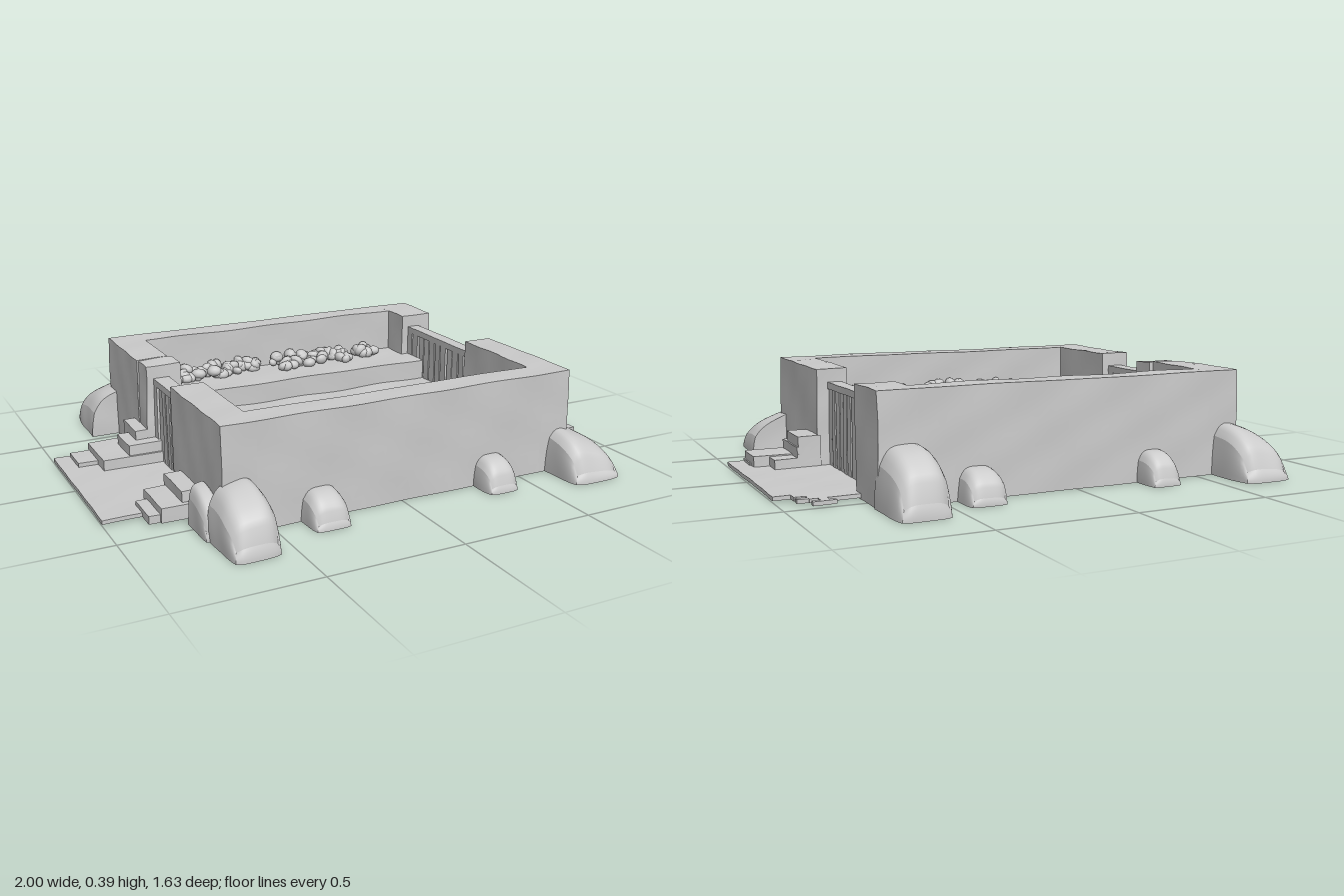
import * as THREE from 'three';
import { mergeGeometries } from 'three/addons/utils/BufferGeometryUtils.js';

const material = new THREE.MeshStandardMaterial({ color: 0xcccccc });

function makeRandom(seed) {
  let s = seed;
  return () => (s = (s * 16807) % 2147483647) / 2147483647;
}

// Gentle hand-hewn unevenness, a function of position so that seams stay shut
function roughen(geometry, amount) {
  const p = geometry.attributes.position;
  for (let i = 0; i < p.count; i++) {
    const x = p.getX(i), y = p.getY(i), z = p.getZ(i);
    const wave = (a, b, c) => Math.sin(a * 17 + b * 11 + 1) * Math.sin(b * 23 - c * 13) + 0.5 * Math.sin(c * 31 + a * 7);
    p.setXYZ(i, x + amount * wave(y, z, x), y < 0.002 ? y : y + amount * wave(x, z, y), z + amount * wave(x, y, z));
  }
  geometry.computeVertexNormals();
  return geometry;
}

// Box given by its bounds, finely divided so it can be roughened
function block(x0, x1, y0, y1, z0, z1, rough = 0.002) {
  const seg = (d) => Math.max(1, Math.ceil(d / 0.045));
  const g = new THREE.BoxGeometry(x1 - x0, y1 - y0, z1 - z0, seg(x1 - x0), seg(y1 - y0), seg(z1 - z0));
  g.translate((x0 + x1) / 2, (y0 + y1) / 2, (z0 + z1) / 2);
  return roughen(g, rough);
}

// Boulder: tall against the wall, curving down towards dir * z, leaning along x
function boulder(x0, x1, z0, z1, h, dir, lean = 0) {
  const g = new THREE.BoxGeometry(2, 1, 2, 14, 6, 14).translate(0, 0.5, 0);
  const p = g.attributes.position;
  for (let i = 0; i < p.count; i++) {
    const v = p.getX(i), t = p.getY(i), w = p.getZ(i);
    const u = (w * dir + 1) / 2;
    const top = h * (0.25 + 0.75 * Math.sqrt(Math.max(0, 1 - u ** 2.2)))
      * (1 - 0.3 * Math.abs(v) ** 4) * (1 - Math.abs(lean) * (v * Math.sign(lean) + 1) / 2);
    const narrow = 1 - 0.1 * t * t - 0.13 * u ** 5;
    const reach = 1 - 0.1 * t * t - 0.1 * Math.abs(v) ** 5;
    const ww = u > 0.5 ? w * reach : w;
    p.setXYZ(i, (x0 + x1) / 2 + v * narrow * (x1 - x0) / 2, t * top, (z0 + z1) / 2 + ww * (z1 - z0) / 2);
  }
  return roughen(g, 0.0025);
}

// Low mound of crumpled leaves filling a strip that tapers towards one end
function foliage(x0, x1, zWall, depth, dir, y, taper, seed) {
  const random = makeRandom(seed), parts = [];
  const count = Math.round((x1 - x0) * 130);
  for (let i = 0; i < count; i++) {
    const u = random(), reach = depth * (1 - taper * u) * (0.85 + 0.15 * Math.sin(u * 19));
    const r = 0.017 + 0.012 * random(), w = random();
    const leaf = new THREE.IcosahedronGeometry(r, 1);
    leaf.scale(1.15, 0.8, 1);
    leaf.rotateX(random() * 3);
    leaf.rotateY(random() * 3);
    leaf.translate(x0 + r + u * (x1 - x0 - 2 * r), y + 0.008 + 0.035 * random() * (1 - w * 0.7), zWall + dir * (r * 0.6 + w * (reach - 1.6 * r)));
    parts.push(leaf);
  }
  return mergeGeometries(parts);
}

// Gate of uneven upright planks
function gate(x0, x1, z0, z1, h, seed) {
  const random = makeRandom(seed);
  const n = Math.round((z1 - z0) / 0.045), step = (z1 - z0) / n;
  const parts = [block(x0 + 0.012, x1 - 0.012, 0, h - 0.005, z0, z1, 0.001), block(x0, x1, h - 0.025, h, z0, z1, 0.001)];
  for (let i = 0; i < n; i++) {
    const z = z0 + i * step, d = 0.007 * random();
    parts.push(block(x0 + d, x1 - d, 0, h - 0.012, z + 0.006 * random(), z + step - 0.005, 0.0015));
  }
  return mergeGeometries(parts);
}

export function createModel() {
  const group = new THREE.Group();
  const add = (name, geometry) => {
    const mesh = new THREE.Mesh(geometry, material);
    mesh.name = name;
    group.add(mesh);
  };
  const H = 0.383, ledge = 0.21, floor = 0.13;

  // Outer walls, with gaps for the two gates
  add('frontWall', block(-0.55, 0.59, 0, H, 0.5, 0.605));
  add('backWall', block(-0.55, 0.585, 0, H, -0.61, -0.51));
  add('rightFrontWing', block(-0.675, -0.55, 0, H, 0.14, 0.605));
  add('rightBackWing', block(-0.675, -0.55, 0, H, -0.61, -0.24));
  add('rightBackPost', block(-0.67, -0.53, 0, H - 0.004, -0.24, -0.15, 0.004));
  add('leftFrontWing', block(0.59, 0.71, 0, H, 0.09, 0.605));
  add('leftBackWing', block(0.585, 0.725, 0, H, -0.61, -0.39));

  // Floor and raised planting ledges
  add('floor', block(-0.6, 0.63, 0.002, floor, -0.27, 0.17, 0.003));
  add('frontLedge', block(-0.56, 0.6, 0.002, ledge, 0.17, 0.505));
  add('backLedge', block(-0.56, 0.62, 0.002, ledge, -0.515, -0.27));

  // Gates
  add('leftGate', gate(0.615, 0.668, -0.395, 0.095, 0.332, 11));
  add('rightGate', gate(-0.642, -0.58, -0.155, 0.145, 0.332, 29));

  // Foliage: x0, x1, wall z, depth, direction, taper
  [
    [-0.54, -0.16, -0.51, 0.15, 1, 0.2],
    [-0.2, -0.04, -0.51, 0.09, 1, 0.3],
    [-0.02, 0.2, -0.51, 0.15, 1, 0.1],
    [0.16, 0.5, -0.51, 0.155, 1, 0.1],
    [-0.31, -0.1, 0.5, 0.11, -1, 0.1],
    [-0.08, 0.13, 0.5, 0.105, -1, 0.1],
    [0.2, 0.55, 0.5, 0.115, -1, 0.1],
  ].forEach(([x0, x1, z, d, dir, taper], i) => add('foliage', foliage(x0, x1, z, d, dir, ledge, taper, 101 + i * 37)));

  // Boulders propped against the walls: x0, x1, z0, z1, height, direction, lean
  [
    [-0.725, -0.545, 0.59, 0.81, 0.205, 1, -0.15],
    [0.62, 0.845, 0.53, 0.785, 0.19, 1, 0.45],
    [-0.785, -0.57, -0.815, -0.53, 0.21, -1, -0.3],
    [0.54, 0.73, -0.815, -0.59, 0.215, -1, 0.05],
    [-0.74, -0.66, 0.45, 0.62, 0.15, 1, -0.1],
  ].forEach((b) => add('boulder', boulder(...b)));
  [
    [-0.395, -0.25, 0.59, 0.715, 0.115, 1],
    [0.3, 0.43, 0.59, 0.715, 0.115, 1],
    [-0.37, -0.245, -0.72, -0.6, 0.115, -1],
    [0.31, 0.45, -0.72, -0.6, 0.115, -1],
  ].forEach((b) => add('smallBoulder', boulder(...b)));

  // Thin paving outside each gate
  add('rightPaving', block(-1, -0.6, 0.006, 0.02, -0.31, 0.34, 0.0012));
  [
    [0.63, 1, -0.36, 0.31],
    [0.7, 0.9, -0.44, -0.36],
    [0.9, 0.94, -0.4, -0.36],
    [0.84, 0.87, -0.485, -0.44],
    [0.82, 0.9, -0.485, -0.465],
    [0.9, 0.94, -0.435, -0.415],
  ].forEach(([x0, x1, z0, z1]) => add('leftPaving', block(x0, x1, 0.006, 0.02, z0, z1, 0.0012)));

  // Stepped stones beside the gates: x0, x1, height, z0, z1
  [
    [0.7, 0.94, 0.03, 0.2, 0.31],
    [0.7, 0.935, 0.06, 0.16, 0.305],
    [0.7, 0.875, 0.055, 0.085, 0.16],
    [0.7, 0.79, 0.095, 0.085, 0.29],
    [0.7, 0.785, 0.135, 0.085, 0.245],
    [-0.94, -0.66, 0.035, -0.3, -0.17],
    [-0.865, -0.62, 0.06, -0.31, -0.09],
    [-0.765, -0.62, 0.1, -0.245, -0.1],
    [-0.72, -0.62, 0.135, -0.3, -0.15],
    [-0.86, -0.66, 0.035, 0.26, 0.41],
    [-0.82, -0.66, 0.06, 0.23, 0.42],
    [-0.74, -0.66, 0.1, 0.22, 0.4],
  ].forEach(([x0, x1, h, z0, z1]) => add('steppedStone', block(x0, x1, 0.006, h, z0, z1, 0.0015)));

  return group;
}
